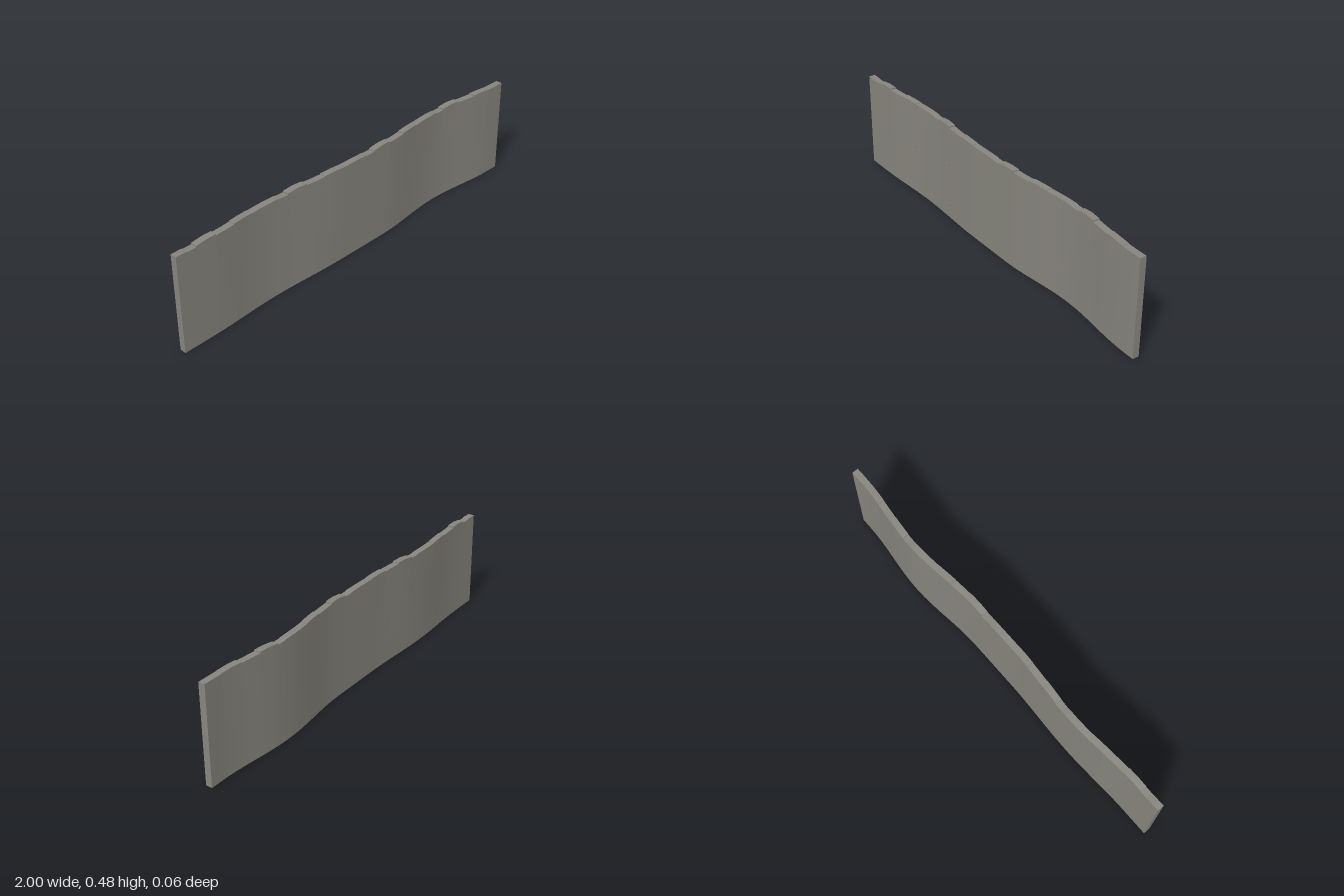
import * as THREE from 'three';
import { toCreasedNormals } from 'three/addons/utils/BufferGeometryUtils.js';

const THICKNESS = 0.031;

// Top edge of one repeating half-unit section: [offset, height]; repeated offsets are steps
const TOP_EDGE = [
  [0, 0.469], [0.05, 0.468], [0.06, 0.465], [0.1, 0.465], [0.1, 0.471], [0.15, 0.477], [0.2, 0.476],
  [0.2, 0.47], [0.25, 0.469], [0.3, 0.469], [0.3, 0.473], [0.35, 0.473], [0.4, 0.471],
  [0.4, 0.469], [0.45, 0.469],
];

// Smooth bump, 1 at the centre and 0 beyond the half width
function bump(x, centre, left, right) {
  const t = (x - centre) / (x < centre ? left : right);
  return Math.abs(t) >= 1 ? 0 : 0.5 + 0.5 * Math.cos(Math.PI * t);
}

// Front surface depth; the bend on the right leans back towards the top
function frontZ(x, isTop) {
  return 0.031 - 0.031 * bump(x, 0.55, 0.4, 0.4) - (isTop ? 0.021 : 0.013) * bump(x, -0.5, 0.36, 0.4);
}

// Cross-section corners: front bottom, front top, back top, back bottom
function section([x, h]) {
  const low = frontZ(x, false), high = frontZ(x, true);
  return [[x, 0, low], [x, h, high], [x, h, high - THICKNESS], [x, 0, low - THICKNESS]];
}

function wallGeometry() {
  const stations = [];
  for (let i = 0; i < 4; i++) {
    for (const [dx, h] of TOP_EDGE) stations.push([-1 + i * 0.5 + dx, h]);
  }
  stations.push([1, 0.469]);
  const rings = stations.map(section);
  const positions = [];
  const quad = (a, b, c, d) => positions.push(...a, ...b, ...c, ...a, ...c, ...d);

  for (let i = 0; i < rings.length - 1; i++) {
    const a = rings[i], b = rings[i + 1];
    const isStep = b[0][0] - a[0][0] < 1e-6;
    for (let k = 0; k < 4; k++) {
      if (isStep && k !== 1) continue; // a step only has its small upright face
      const n = (k + 1) % 4;
      quad(a[k], b[k], b[n], a[n]);
    }
  }
  // End faces
  const first = rings[0], last = rings[rings.length - 1];
  quad(first[0], first[1], first[2], first[3]);
  quad(last[3], last[2], last[1], last[0]);

  const geometry = new THREE.BufferGeometry();
  geometry.setAttribute('position', new THREE.Float32BufferAttribute(positions, 3));
  return toCreasedNormals(geometry, 0.5);
}

export function createModel() {
  const stone = new THREE.MeshStandardMaterial({ color: 0x87857d });
  stone.name = 'greyStone';
  const wall = new THREE.Mesh(wallGeometry(), stone);
  wall.name = 'wavyWall';
  const model = new THREE.Group();
  model.name = 'wallSection';
  model.add(wall);
  return model;
}
